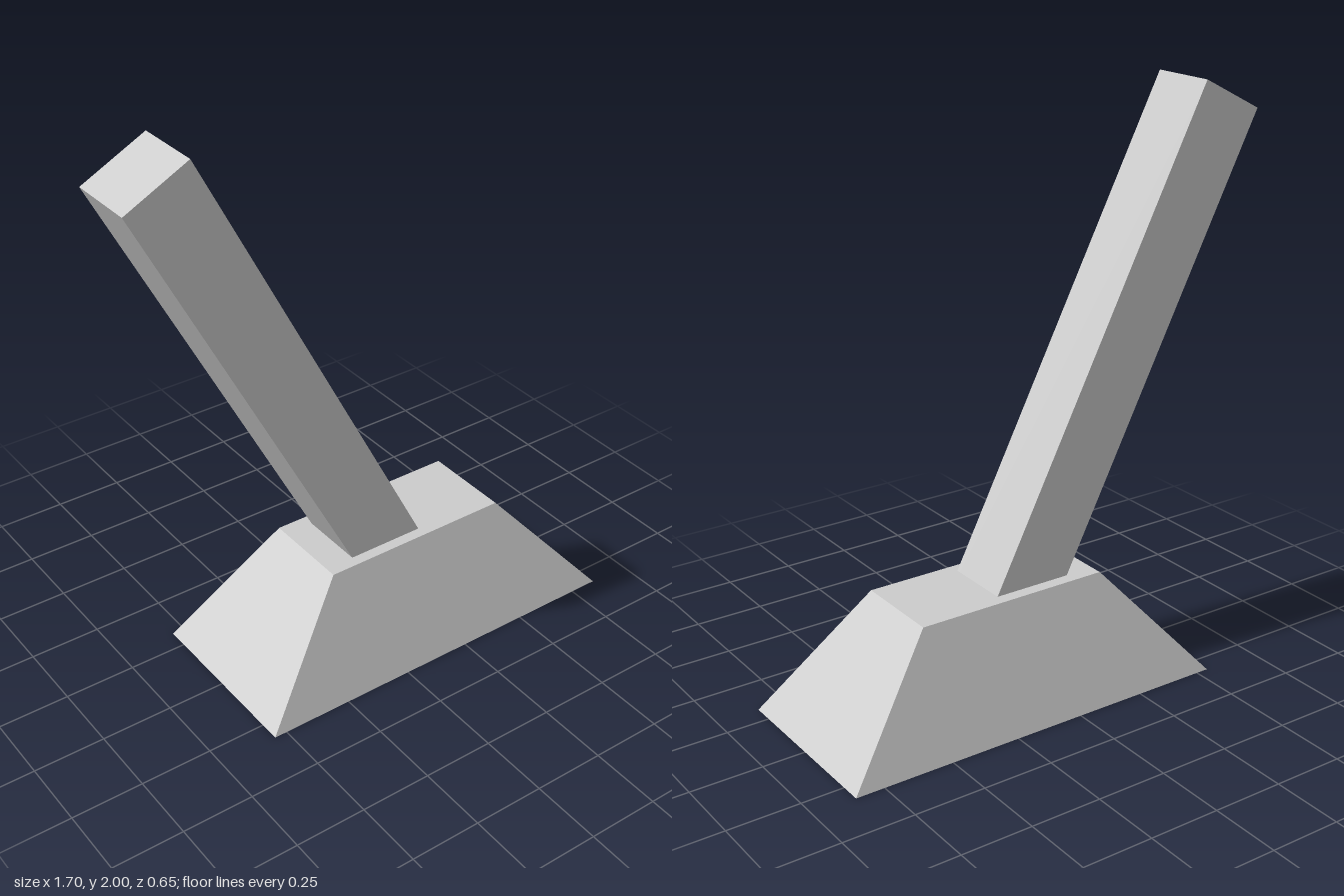
import * as THREE from 'three';

const material = new THREE.MeshStandardMaterial({ color: 0xcccccc, flatShading: true });

// Box standing on y = 0 whose top face is scaled to half size
function taperedBox(width, height, depth, topScale) {
  const geometry = new THREE.BoxGeometry(width, height, depth).translate(0, height / 2, 0);
  const p = geometry.attributes.position;
  for (let i = 0; i < p.count; i++) {
    if (p.getY(i) > height / 2) {
      p.setX(i, p.getX(i) * topScale);
      p.setZ(i, p.getZ(i) * topScale);
    }
  }
  geometry.computeVertexNormals();
  return geometry;
}

export function createModel() {
  const group = new THREE.Group();
  group.name = 'lever';

  // Sloped mounting base
  const base = new THREE.Mesh(taperedBox(1.396, 0.405, 0.646, 0.498), material);
  base.name = 'base';
  base.position.x = 0.153;
  group.add(base);

  // Leaning handle, hung from its top end and sunk into the base
  const length = 1.9;
  const handle = new THREE.Mesh(
    new THREE.BoxGeometry(0.248, length, 0.239).translate(0, -length / 2, 0),
    material
  );
  handle.name = 'handle';
  handle.position.set(-0.741, 1.943, 0.002);
  handle.rotation.z = 0.475;
  group.add(handle);

  return group;
}
